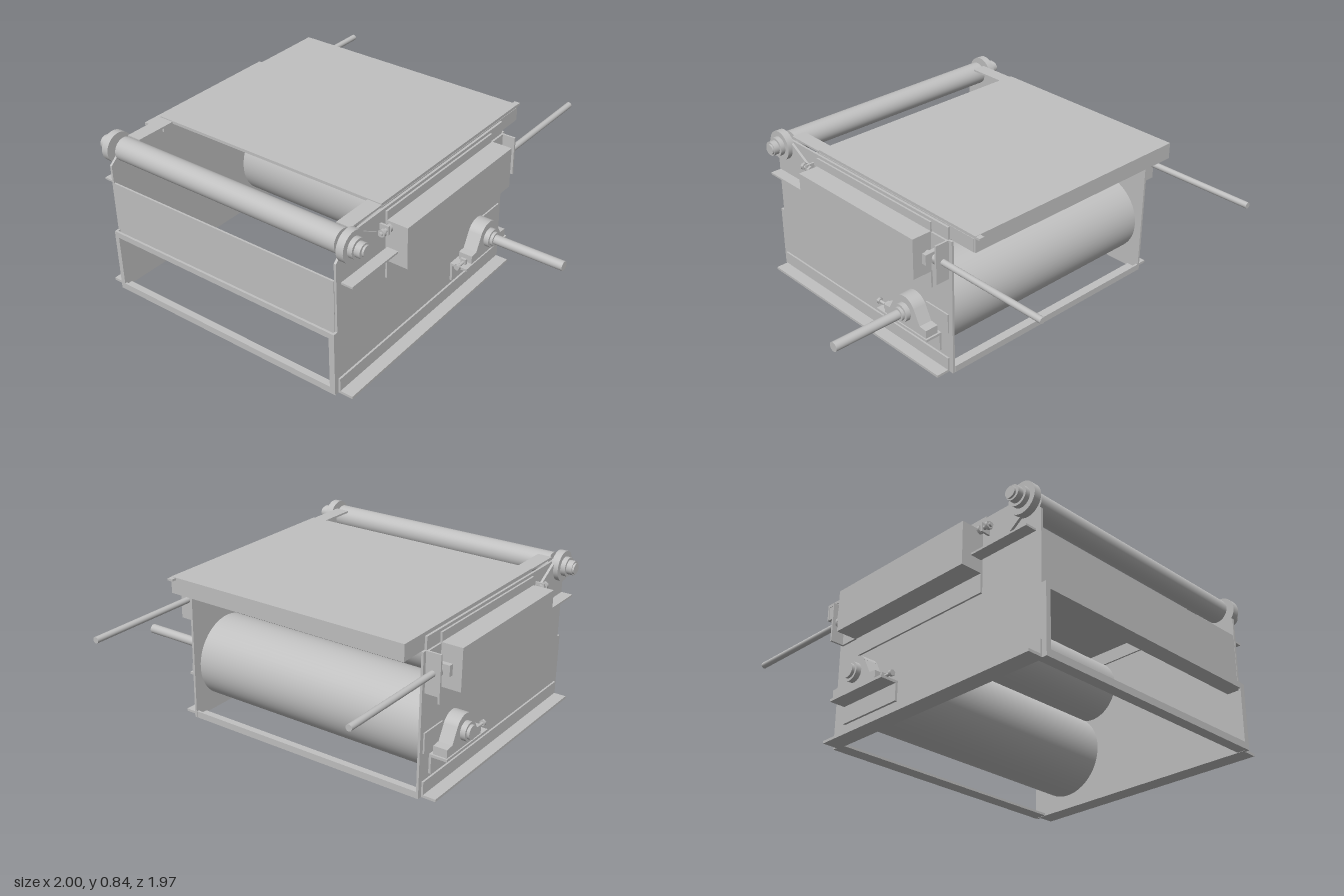
import * as THREE from 'three';

export function createModel() {
  const model = new THREE.Group();
  model.name = 'conveyorDriveUnit';
  const steel = new THREE.MeshStandardMaterial({ color: 0xc0c0c0 });
  steel.name = 'steelGrey';
  const CX = -0.19; // middle of the frame; the drive shaft sticks out on +x

  const add = (name, geo) => {
    const m = new THREE.Mesh(geo, steel);
    m.name = name;
    model.add(m);
    return m;
  };
  // box from its limits
  const box = (name, x0, x1, y0, y1, z0, z1) => add(name,
    new THREE.BoxGeometry(Math.abs(x1 - x0), y1 - y0, z1 - z0)
      .translate((x0 + x1) / 2, (y0 + y1) / 2, (z0 + z1) / 2));
  // cylinder along x
  const rodX = (name, x0, x1, y, z, r, n = 40) => add(name,
    new THREE.CylinderGeometry(r, r, Math.abs(x1 - x0), n)
      .rotateZ(Math.PI / 2).translate((x0 + x1) / 2, y, z));
  // cylinder along z
  const rodZ = (name, x, y, z0, z1, r, n = 24) => add(name,
    new THREE.CylinderGeometry(r, r, z1 - z0, n)
      .rotateX(Math.PI / 2).translate(x, y, (z0 + z1) / 2));
  // plate drawn in (z, y) and given thickness along x
  const plate = (name, shape, x0, x1) => {
    const t = Math.abs(x1 - x0);
    return add(name, new THREE.ExtrudeGeometry(shape, { depth: t, bevelEnabled: false, curveSegments: 24 })
      .translate(0, 0, -t / 2).rotateY(-Math.PI / 2).translate((x0 + x1) / 2, 0, 0));
  };
  const poly = (pts) => new THREE.Shape(pts.map(([z, y]) => new THREE.Vector2(z, y)));

  // ---- table top with front arms and folded skirts
  box('tableTop', -0.86, 0.475, 0.805, 0.82, -0.52, 0.62);
  box('tableBackSkirt', -0.86, 0.475, 0.735, 0.805, -0.52, -0.51);
  for (const s of [-1, 1]) {
    const X = (d) => CX + s * d;
    box('tableArm', X(0.59), X(0.667), 0.805, 0.815, 0.62, 0.84);
    box('tableSideSkirt', X(0.657), X(0.667), 0.735, 0.805, -0.51, 0.62);
  }
  box('tableCornerPin', 0.445, 0.475, 0.807, 0.818, -0.545, -0.52);

  // ---- front frame with opening, front panel and cross members
  const frame = new THREE.Shape([[-0.87, 0], [0.49, 0], [0.49, 0.34], [-0.87, 0.34]].map((p) => new THREE.Vector2(...p)));
  frame.holes.push(new THREE.Path([[-0.845, 0.035], [-0.845, 0.31], [0.46, 0.31], [0.46, 0.035]].map((p) => new THREE.Vector2(...p))));
  add('frontFrame', new THREE.ExtrudeGeometry(frame, { depth: 0.012, bevelEnabled: false }).translate(0, 0, 0.973));
  box('frontPanel', -0.86, 0.475, 0.31, 0.605, 0.95, 0.96);
  box('frontPanelFlange', -0.86, 0.475, 0.31, 0.32, 0.9, 0.973);
  box('frontSill', -0.86, 0.475, 0, 0.012, 0.93, 0.975);
  box('backSill', -0.86, 0.475, 0, 0.012, -0.38, -0.31);
  box('backSillLip', -0.86, 0.475, 0.012, 0.035, -0.38, -0.368);

  // ---- rollers
  rodX('driveDrum', -0.845, 0.465, 0.28, -0.135, 0.215, 64);
  rodX('driveShaft', -1, 1, 0.28, -0.135, 0.025);
  rodX('takeUpDrum', -0.845, 0.465, 0.6, 0.05, 0.16, 64);
  rodX('takeUpShaft', -0.9, 0.52, 0.635, 0.05, 0.025);
  rodX('frontRoller', -0.845, 0.465, 0.765, 0.88, 0.06, 48);
  rodX('frontRollerShaft', -0.975, 0.595, 0.765, 0.88, 0.028);

  // ---- shared side outlines
  const wall = poly([[-0.38, 0], [0.983, 0], [0.983, 0.34], [0.96, 0.34], [0.96, 0.7],
    [0.84, 0.8], [-0.355, 0.8], [-0.355, 0.735], [-0.38, 0.735]]);

  const block = new THREE.Shape(); // pillow block
  block.moveTo(-0.29, 0.2);
  block.lineTo(0.015, 0.2);
  block.lineTo(0.015, 0.243);
  block.lineTo(-0.025, 0.247);
  block.lineTo(-0.066, 0.325);
  block.absarc(-0.135, 0.285, 0.08, Math.PI / 6, Math.PI * 5 / 6, false);
  block.lineTo(-0.245, 0.247);
  block.lineTo(-0.29, 0.243);

  const arm = new THREE.Shape(); // roller support arm
  arm.moveTo(0.745, 0.62);
  arm.lineTo(0.85, 0.695);
  arm.lineTo(0.93, 0.74);
  arm.lineTo(0.92, 0.82);
  arm.lineTo(0.86, 0.82);
  arm.lineTo(0.685, 0.72);
  for (const [z, y] of [[0.77, 0.75], [0.73, 0.73], [0.81, 0.68], [0.77, 0.655]]) {
    arm.holes.push(new THREE.Path().absarc(z, y, 0.008, 0, Math.PI * 2, true));
  }

  // ---- both sides, X measured outwards from the frame middle
  for (const s of [-1, 1]) {
    const X = (d) => CX + s * d;
    plate('sideWall', wall, X(0.668), X(0.68));
    box('footAngleLeg', X(0.68), X(0.69), 0, 0.08, -0.355, 0.96);
    box('footAngleFlange', X(0.68), X(0.757), 0, 0.013, -0.355, 0.96);

    // take-up guard, screw and bracket
    box('guardBackPlate', X(0.68), X(0.69), 0.43, 0.785, -0.245, 0.61);
    box('guardBox', X(0.69), X(0.8), 0.525, 0.74, -0.25, 0.61);
    rodZ('takeUpScrew', X(0.715), 0.635, -0.985, -0.24, 0.016);
    box('screwBracketPlate', X(0.68), X(0.757), 0.53, 0.735, -0.36, -0.35);
    box('screwBracketWeb', X(0.68), X(0.69), 0.53, 0.735, -0.35, -0.25);
    rodZ('screwNut', X(0.715), 0.635, -0.35, -0.315, 0.03, 6);
    box('screwGuide', X(0.69), X(0.767), 0.61, 0.665, -0.3, -0.275);

    // pillow block bearing on its bracket
    box('bearingBracketLeg', X(0.68), X(0.692), 0.1, 0.2, -0.3, 0.07);
    box('bearingBracketShelf', X(0.68), X(0.775), 0.187, 0.2, -0.3, 0.07);
    plate('bearingHousing', block, X(0.695), X(0.768));
    rodX('bearingHub', X(0.68), X(0.795), 0.28, -0.135, 0.048);
    rodX('bearingCollar', X(0.795), X(0.81), 0.28, -0.135, 0.036);
    box('wallCoverPlate', X(0.68), X(0.688), 0.225, 0.33, -0.355, -0.2);
    box('adjusterLug', X(0.72), X(0.75), 0.2, 0.23, 0.03, 0.042);
    rodZ('adjusterBolt', X(0.735), 0.212, 0.01, 0.09, 0.008, 12);
    rodZ('adjusterBoltHead', X(0.735), 0.212, 0.085, 0.1, 0.016, 6);

    // front roller support
    plate('rollerArm', arm, X(0.682), X(0.695));
    rodX('rollerBearingFlange', X(0.682), X(0.72), 0.765, 0.885, 0.078, 48);
    rodX('rollerBearingHub', X(0.72), X(0.745), 0.765, 0.885, 0.05);
    rodX('rollerCollar', X(0.745), X(0.775), 0.765, 0.885, 0.037);
    rodZ('armBolt', X(0.715), 0.722, 0.62, 0.7, 0.01, 12);
    rodZ('armBoltHead', X(0.715), 0.722, 0.675, 0.69, 0.02, 6);
    rodZ('armBoltNut', X(0.715), 0.722, 0.625, 0.64, 0.02, 6);
    box('armBoltLug', X(0.682), X(0.73), 0.7, 0.745, 0.645, 0.655);
    box('armRail', X(0.69), X(0.75), 0.59, 0.6, 0.61, 0.94);
  }
  return model;
}
